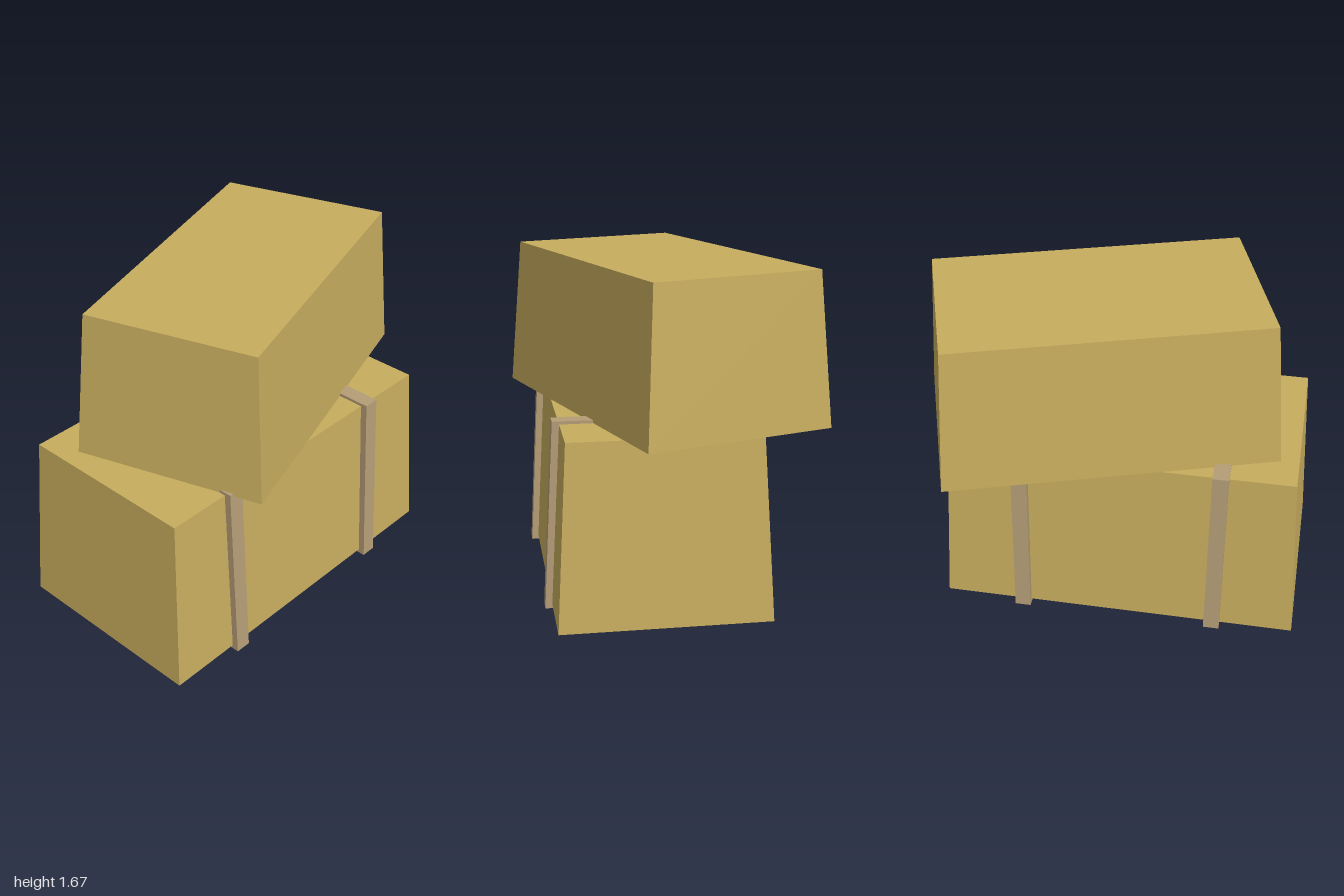
import * as THREE from 'three';

// Box standing on y = 0 whose top is narrowed to topW x topD
function taperedBox(w, h, d, topW, topD) {
  const geo = new THREE.BoxGeometry(w, h, d).translate(0, h / 2, 0);
  const p = geo.attributes.position;
  for (let i = 0; i < p.count; i++) {
    if (p.getY(i) > h / 2) {
      p.setX(i, p.getX(i) * topW / w);
      p.setZ(i, p.getZ(i) * topD / d);
    }
  }
  geo.computeVertexNormals();
  return geo;
}

export function createModel() {
  const group = new THREE.Group();
  const crateMat = new THREE.MeshStandardMaterial({ color: 0xc8ad5e, flatShading: true });
  crateMat.name = 'tan';
  const strapMat = new THREE.MeshStandardMaterial({ color: 0xb59d76, flatShading: true, side: THREE.DoubleSide });
  strapMat.name = 'strapBrown';

  const add = (name, geo, mat, x, y, z) => {
    const mesh = new THREE.Mesh(geo, mat);
    mesh.name = name;
    mesh.position.set(x, y, z);
    group.add(mesh);
    return mesh;
  };

  // Lower bale
  add('lowerBale', taperedBox(1.805, 0.905, 1.02, 1.71, 0.92), crateMat, -0.097, 0.02, 0.08);

  // Upper bale, turned askew on top
  add('upperBale', taperedBox(1.641, 0.739, 0.953, 1.546, 0.857), crateMat, 0.067, 0.926, 0)
    .rotation.y = 0.316;

  // Straps round the lower bale, open underneath
  const strapGeo = taperedBox(0.08, 0.94, 1.084, 0.08, 0.984);
  const index = Array.from(strapGeo.index.array);
  index.splice(18, 6); // bottom face
  strapGeo.setIndex(index);
  strapGeo.clearGroups();
  [['rightStrap', -0.59], ['leftStrap', 0.4]].forEach(([name, x]) =>
    add(name, strapGeo, strapMat, x, 0, 0.082));

  return group;
}
